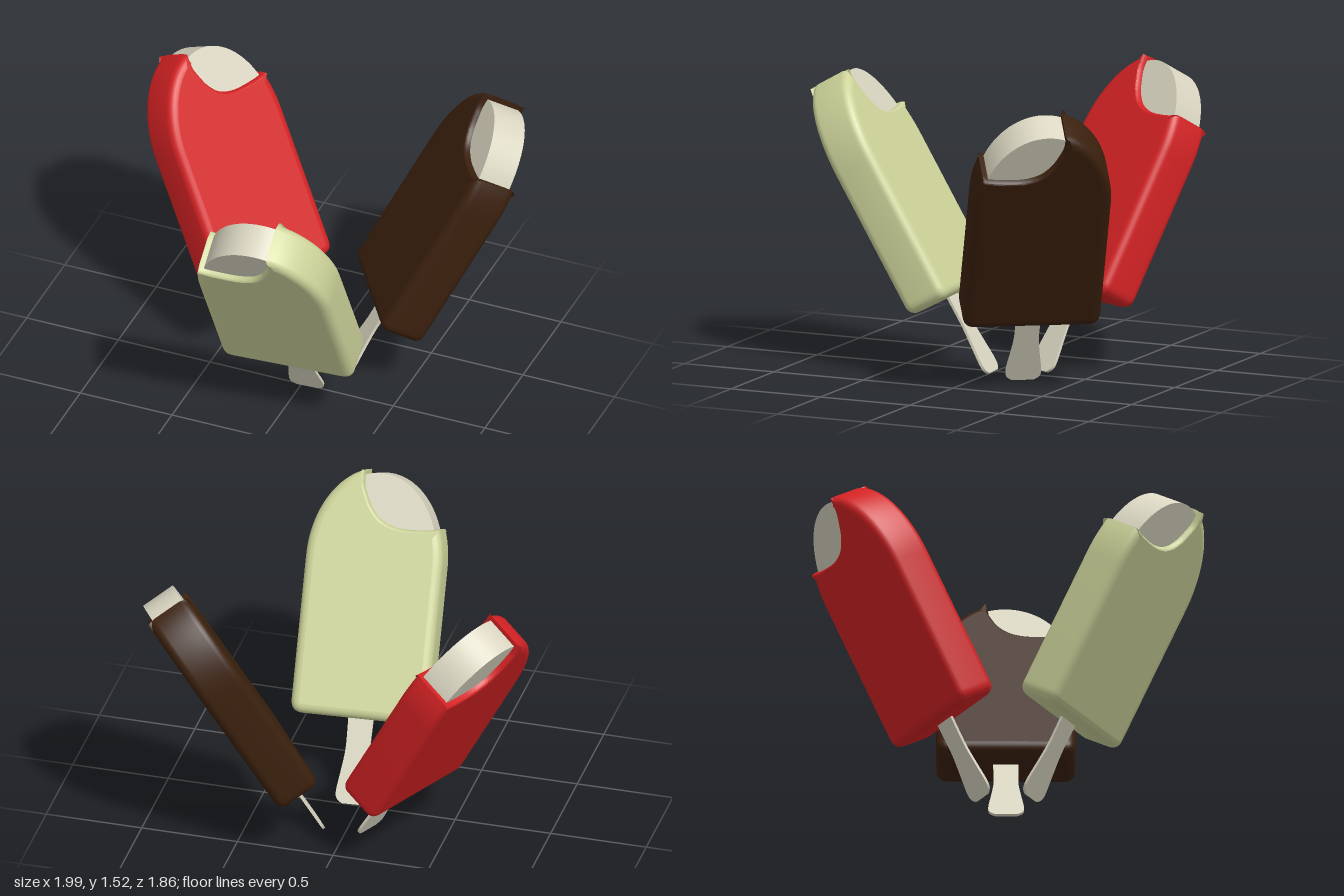
import * as THREE from 'three';
import { mergeGeometries, toCreasedNormals } from 'three/addons/utils/BufferGeometryUtils.js';

const W = 0.35, BOTTOM = 0.435, DOME_Y = 1.23, DOME_H = 0.475; // bar half width, base, dome start and height
const HALF_T = 0.12, BEVEL = 0.045;

// Bar outline with one top corner bitten off, counter-clockwise
function coatingOutline() {
  const r = 0.065, s = new THREE.Shape();
  const xr = 0.085, xl = -0.318;
  const onDome = x => DOME_Y + DOME_H * Math.sqrt(1 - (x / W) ** 2);
  s.moveTo(-W + r, BOTTOM);
  s.lineTo(W - r, BOTTOM);
  s.quadraticCurveTo(W, BOTTOM, W, BOTTOM + r);
  s.lineTo(W, DOME_Y);
  s.absellipse(0, DOME_Y, W, DOME_H, 0, Math.acos(xr / W), false);
  s.splineThru([[0.082, 1.62], [0.065, 1.57], [0.03, 1.5], [-0.03, 1.44], [-0.12, 1.412],
    [-0.25, 1.415], [xl, onDome(xl)]].map(p => new THREE.Vector2(...p)));
  s.absellipse(0, DOME_Y, W, DOME_H, Math.acos(xl / W), Math.PI, false);
  s.lineTo(-W, BOTTOM + r);
  s.quadraticCurveTo(-W, BOTTOM, -W + r, BOTTOM);
  const pts = s.getPoints(10);
  return pts.filter((p, i) => p.distanceTo(pts[(i + 1) % pts.length]) > 1e-4);
}

// Slab with rounded edges; the bite edge gets a tighter rounding
function coatingGeometry() {
  const pts = coatingOutline(), n = pts.length;
  const inward = pts.map((p, i) => {
    const a = p.clone().sub(pts[(i + n - 1) % n]).normalize();
    const b = pts[(i + 1) % n].clone().sub(p).normalize();
    const m = new THREE.Vector2(-a.y - b.y, a.x + b.x).normalize();
    const miter = Math.min(1.6, 1 / Math.max(0.3, m.dot(new THREE.Vector2(-a.y, a.x))));
    const bitten = p.y > 1.3 && (p.x / W) ** 2 + ((p.y - DOME_Y) / DOME_H) ** 2 < 0.985;
    return m.multiplyScalar(miter * (bitten ? 0.35 : 1));
  });
  const layers = [], STEPS = 6;
  for (let k = 0; k <= STEPS; k++) {
    const a = k / STEPS * Math.PI / 2;
    layers.push([-HALF_T + BEVEL * (1 - Math.cos(a)), BEVEL * (1 - Math.sin(a))]);
  }
  for (let k = STEPS; k >= 0; k--) layers.push([-layers[k][0], layers[k][1]]);
  const pos = [], side = [], caps = [];
  for (const [z, inset] of layers) {
    pts.forEach((p, i) => pos.push(p.x + inward[i].x * inset, p.y + inward[i].y * inset, z));
  }
  for (let l = 0; l < layers.length - 1; l++) {
    for (let i = 0; i < n; i++) {
      const a = l * n + i, b = l * n + (i + 1) % n;
      side.push(a, b, b + n, a, b + n, a + n);
    }
  }
  const rim = pts.map((p, i) => p.clone().addScaledVector(inward[i], BEVEL));
  const top = (layers.length - 1) * n;
  for (const [a, b, c] of THREE.ShapeUtils.triangulateShape(rim, [])) {
    caps.push(c, b, a, top + a, top + b, top + c);
  }
  const build = index => {
    const g = new THREE.BufferGeometry();
    g.setAttribute('position', new THREE.Float32BufferAttribute(pos, 3));
    g.setIndex(index);
    return g.toNonIndexed();
  };
  const capGeo = build(caps);
  capGeo.computeVertexNormals();
  return mergeGeometries([toCreasedNormals(build(side), 0.7), capGeo]);
}

// Ice cream core showing inside the bite
function coreGeometry() {
  const s = new THREE.Shape();
  s.moveTo(-0.322, 1.1);
  s.lineTo(0.322, 1.1);
  s.lineTo(0.322, DOME_Y);
  s.absellipse(0, DOME_Y, 0.322, 0.45, 0, Math.PI, false);
  const g = new THREE.ExtrudeGeometry(s, { depth: 0.18, bevelEnabled: false, curveSegments: 32 });
  g.translate(0, 0, -0.09);
  return toCreasedNormals(g, 0.7);
}

// Flat waisted stick with a flared, rounded end
function stickGeometry() {
  const half = [[0.055, 0], [0.083, 0.022], [0.09, 0.065], [0.075, 0.17], [0.063, 0.27], [0.063, 0.38], [0.068, 0.55]];
  const s = new THREE.Shape();
  s.moveTo(-0.055, 0);
  s.lineTo(0.055, 0);
  s.splineThru(half.slice(1).map(([x, y]) => new THREE.Vector2(x, y)));
  s.lineTo(-0.068, 0.55);
  s.splineThru(half.slice(0, -1).reverse().map(([x, y]) => new THREE.Vector2(-x, y)));
  const g = new THREE.ExtrudeGeometry(s, { depth: 0.014, bevelEnabled: false, curveSegments: 6 });
  g.translate(0, 0, -0.007);
  return toCreasedNormals(g, 0.7);
}

export function createModel() {
  const material = (name, color) => {
    const m = new THREE.MeshStandardMaterial({ color });
    m.name = name;
    return m;
  };
  const cream = material('cream', 0xd9d5c1);
  const flavours = [
    ['pistachio', material('pale green', 0xcdd39a), 4],
    ['chocolate', material('dark brown', 0x3b200d), 124],
    ['strawberry', material('red', 0xd42224), -116],
  ];
  const coating = coatingGeometry(), core = coreGeometry(), stick = stickGeometry();
  const model = new THREE.Group();
  model.name = 'iceCreamBars';

  // Three bars fanned around a centre, each leaning outward
  for (const [name, coat, degrees] of flavours) {
    const yaw = THREE.MathUtils.degToRad(degrees);
    const bar = new THREE.Group();
    bar.name = name + 'Bar';
    for (const [part, geometry, mat] of [['coating', coating, coat], ['core', core, cream], ['stick', stick, cream]]) {
      const mesh = new THREE.Mesh(geometry, mat);
      mesh.name = part;
      bar.add(mesh);
    }
    bar.rotation.set(Math.PI / 6, yaw, 0, 'YXZ');
    bar.position.set(0.027 + 0.14 * Math.sin(yaw), 0.004, -0.14 + 0.14 * Math.cos(yaw));
    model.add(bar);
  }
  return model;
}
